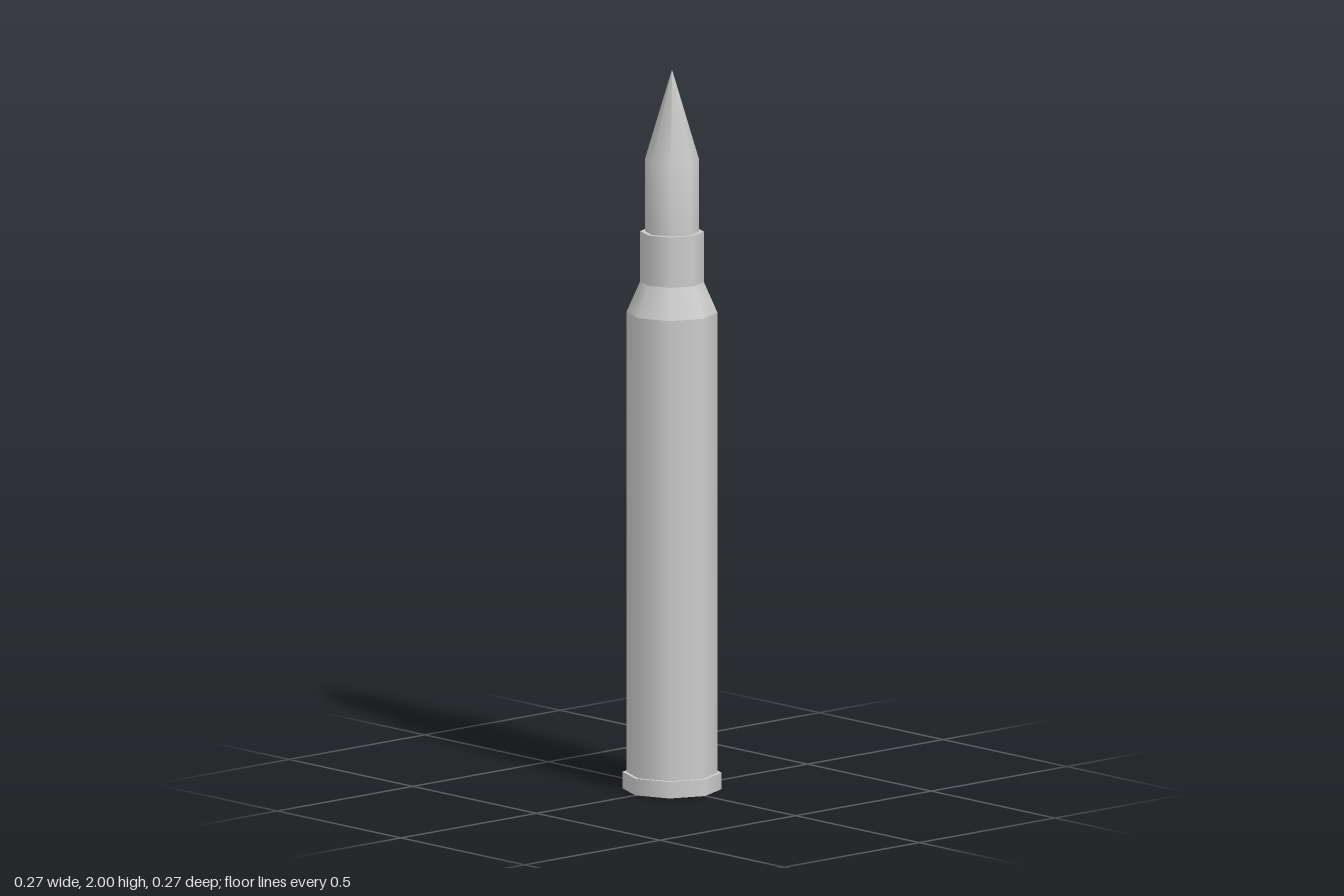
import * as THREE from 'three';

const SIDES = 8;
const material = new THREE.MeshStandardMaterial({ color: 0xcccccc });

// Eight-sided turned surface, smooth around and along its own profile of [radius, y]
function turned(name, profile) {
  const points = profile.map(([r, y]) => new THREE.Vector2(r, y));
  const mesh = new THREE.Mesh(new THREE.LatheGeometry(points, SIDES), material);
  mesh.name = name;
  return mesh;
}

export function createModel() {
  const model = new THREE.Group();
  model.name = 'cartridge';

  // Case: each band is separate so the edges between them stay sharp
  const casing = new THREE.Group();
  casing.name = 'case';
  casing.add(
    turned('base', [[0, 0], [0.135, 0]]),
    turned('rim', [[0.135, 0], [0.135, 0.046]]),
    turned('rimLedge', [[0.135, 0.046], [0.124, 0.046]]),
    turned('body', [[0.124, 0.046], [0.124, 1.325]]),
    turned('shoulder', [[0.124, 1.325], [0.087, 1.41]]),
    turned('neck', [[0.087, 1.41], [0.087, 1.55]]),
    turned('neckLip', [[0.087, 1.55], [0.074, 1.55]])
  );
  model.add(casing);

  // Bullet: straight shank flowing smoothly into the pointed tip
  model.add(turned('bullet', [[0.074, 1.55], [0.074, 1.75], [0, 2]]));

  return model;
}
